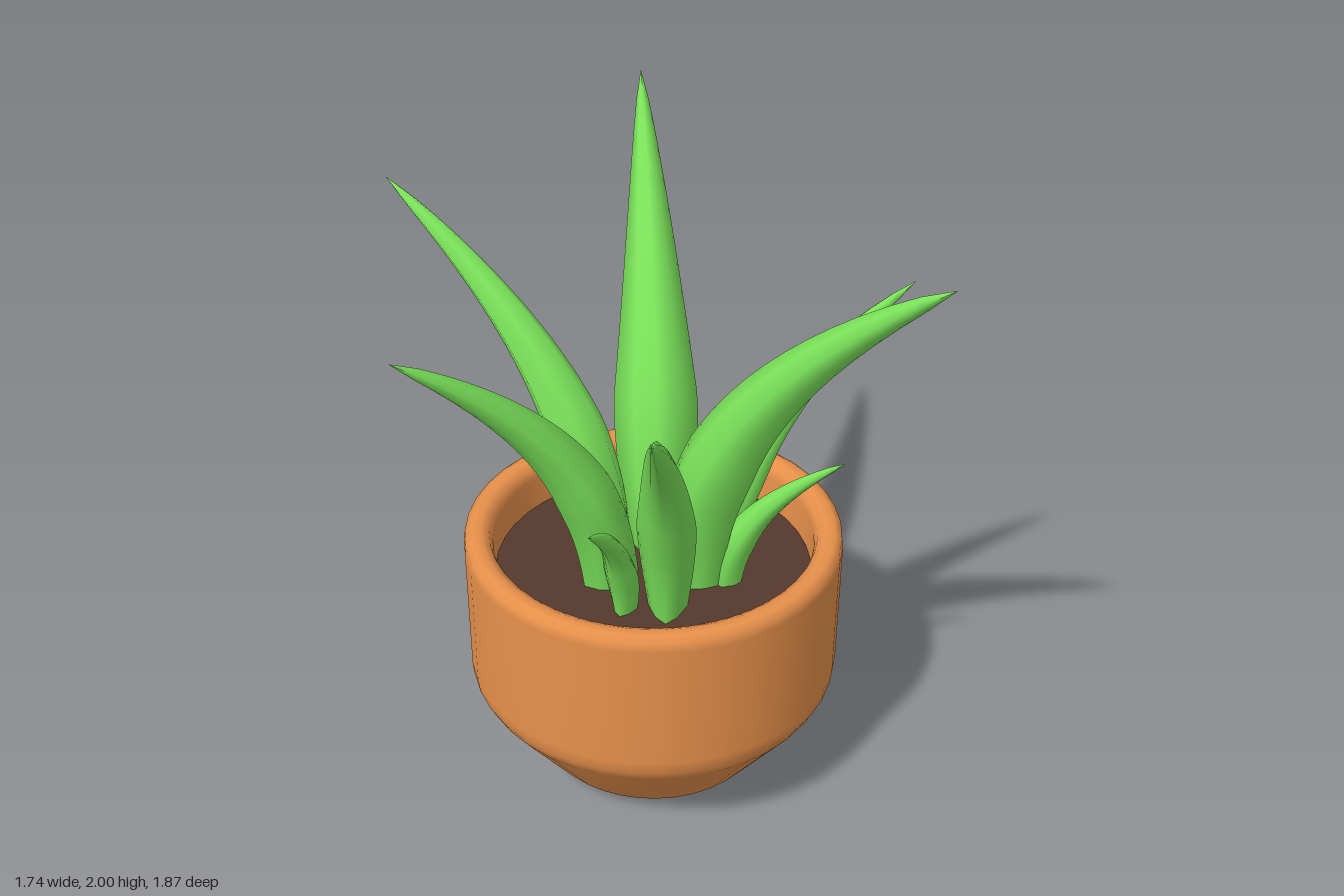
import * as THREE from 'three';

const CENTER = [0.02, 0.055]; // pot axis (x, z)

function part(name, geometry, color) {
  const mesh = new THREE.Mesh(geometry, new THREE.MeshStandardMaterial({ color }));
  mesh.name = name;
  return mesh;
}

// half cross-section of a leaf: (across, through), inner face is +
const SECTION = [
  [1, 0], [0.55, 0.65], [0, 1], [-0.55, 0.65],
  [-1, 0], [-0.55, -0.65], [0, -1], [0.55, -0.65],
];

// Leaf that rises from its root in the soil and arches outward to a pointed tip
function leafGeometry(root, tip, width, thickness) {
  const y0 = 0.7, rings = 20, n = SECTION.length, lean = 0.15, bend = 2.5, widest = 0.38;
  const base = new THREE.Vector3(root[0], y0, root[1]);
  const end = new THREE.Vector3(...tip);
  const out = end.clone().sub(base).setY(0);
  const reach = out.length(), rise = end.y - y0;
  out.normalize();
  const pos = [], index = [];
  for (let i = 0; i <= rings; i++) {
    const t = i / rings;
    const p = base.clone().addScaledVector(out, reach * (lean * t + (1 - lean) * t ** bend));
    p.y += rise * t;
    const slope = reach * (lean + bend * (1 - lean) * t ** (bend - 1));
    const T = out.clone().multiplyScalar(slope).setY(rise).normalize();
    const N = out.clone().multiplyScalar(-rise).setY(slope).normalize();
    const S = N.clone().cross(T);
    // narrower at the root, pointed at the tip
    const toTip = Math.min(1, (1 - t) / (1 - widest));
    const neck = 0.65 + 0.35 * Math.sin(Math.min(1, t / widest) * Math.PI / 2);
    const w = width / 2 * neck * toTip ** 0.75, d = thickness / 2 * toTip ** 0.68;
    for (const [s, h] of SECTION) {
      const q = p.clone().addScaledVector(S, s * w).addScaledVector(N, h * d);
      pos.push(q.x, q.y, q.z);
    }
    if (i === rings) break;
    for (let j = 0; j < n; j++) {
      const a = i * n + j, b = i * n + (j + 1) % n;
      index.push(a, b, a + n, b, b + n, a + n);
    }
  }
  const g = new THREE.BufferGeometry();
  g.setAttribute('position', new THREE.Float32BufferAttribute(pos, 3));
  g.setIndex(index);
  g.computeVertexNormals();
  return g;
}

export function createModel() {
  const model = new THREE.Group();
  model.name = 'pottedPlant';

  // Pot: tapered foot, straight wall, rounded rim, hollow inside
  const profile = [
    [0, 0], [0.29, 0.005], [0.335, 0.018], [0.38, 0.06],
    [0.575, 0.325], [0.595, 0.365], [0.6, 0.41],
    [0.601, 0.84], [0.597, 0.872], [0.575, 0.886],
    [0.545, 0.886], [0.52, 0.872], [0.51, 0.84], [0.505, 0.7],
  ].map(([r, y]) => new THREE.Vector2(r, y));
  const pot = part('pot', new THREE.LatheGeometry(profile, 40), 0xe8914b);
  pot.position.set(CENTER[0], 0, CENTER[1]);
  model.add(pot);

  // Soil disc
  const soil = part('soil', new THREE.CylinderGeometry(0.508, 0.5, 0.04, 40), 0x55382d);
  soil.position.set(CENTER[0], 0.71, CENTER[1]);
  model.add(soil);

  // Leaves: root (x, z), tip (x, y, z), width, thickness
  const leaves = new THREE.Group();
  leaves.name = 'leaves';
  [
    ['backLeaf', [0.02, -0.07], [-0.14, 2.0, -0.94], 0.27, 0.24],
    ['frontLeftLeaf', [0.13, 0.1], [0.87, 1.96, 0.43], 0.26, 0.24],
    ['backRightLeaf', [-0.14, -0.01], [-0.87, 1.84, -0.36], 0.24, 0.21],
    ['frontLeaf', [0.09, 0.265], [0.115, 1.73, 0.93], 0.18, 0.2],
    ['frontRightLeaf', [-0.1, 0.15], [-0.66, 1.69, 0.53], 0.21, 0.19],
    ['backLeftLeaf', [0.22, -0.01], [0.79, 1.62, -0.28], 0.19, 0.18],
    ['smallSideLeaf', [0.25, 0.12], [0.61, 1.215, 0.15], 0.11, 0.11],
    ['smallFrontLeaf', [-0.04, 0.29], [-0.1, 1.215, 0.62], 0.11, 0.11],
  ].forEach(([name, ...shape]) => leaves.add(part(name, leafGeometry(...shape), 0x7be35a)));
  model.add(leaves);

  return model;
}
